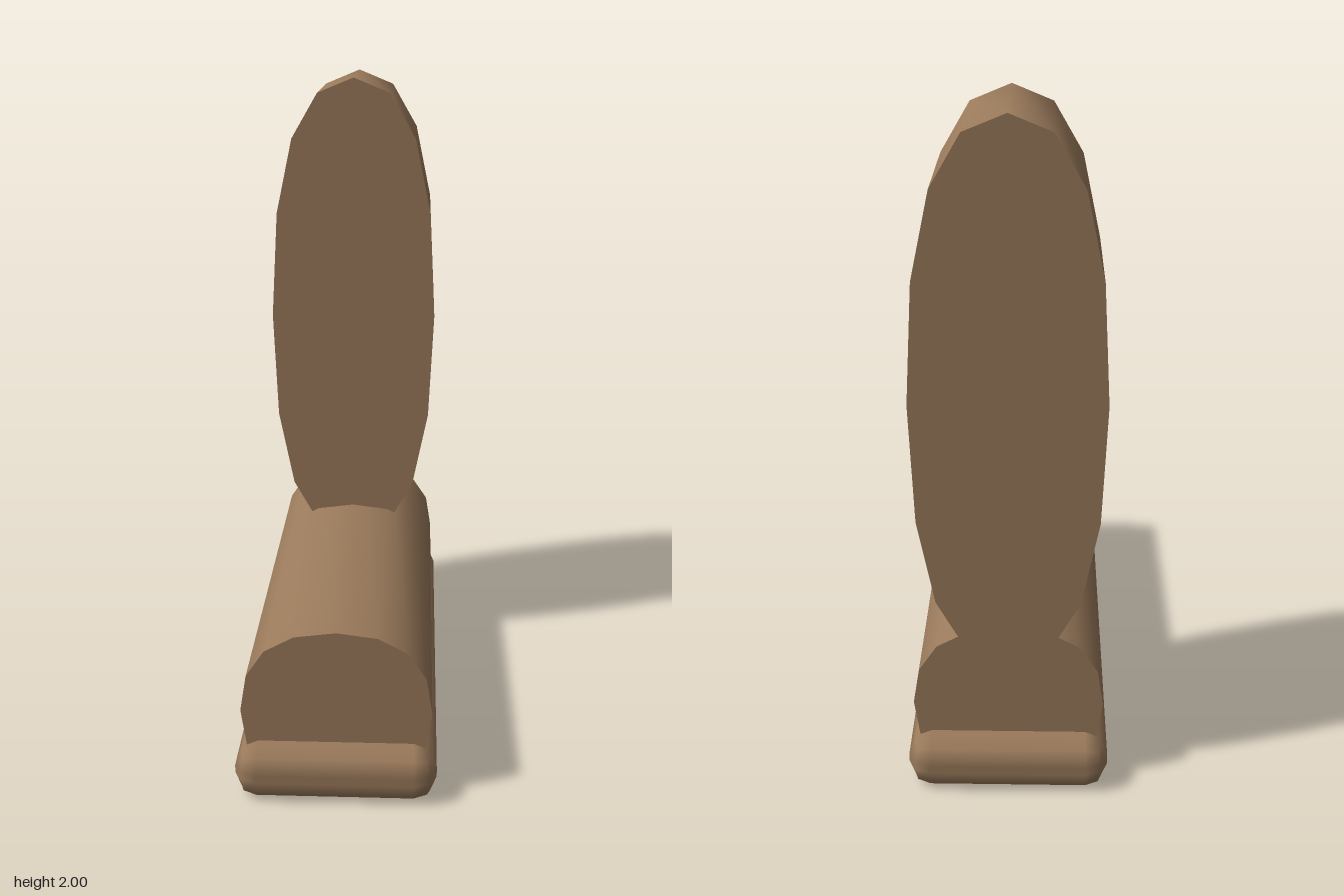
import * as THREE from 'three';
import { toCreasedNormals } from 'three/addons/utils/BufferGeometryUtils.js';
import { RoundedBoxGeometry } from 'three/addons/geometries/RoundedBoxGeometry.js';

const brown = new THREE.MeshStandardMaterial({ color: 0x9a7a5b });
brown.name = 'brown';

// Closed oval of four curves, drawn in the x-y plane
function ovalShape(rx, ry) {
  const k = 2 / 3;
  const s = new THREE.Shape();
  s.moveTo(rx, 0);
  s.bezierCurveTo(rx, ry * k, rx * k, ry, 0, ry);
  s.bezierCurveTo(-rx * k, ry, -rx, ry * k, -rx, 0);
  s.bezierCurveTo(-rx, -ry * k, -rx * k, -ry, 0, -ry);
  s.bezierCurveTo(rx * k, -ry, rx, -ry * k, rx, 0);
  return s;
}

// Oval cushion running along z, smooth round the side and sharp at the ends
function cushion(name, rx, ry, y, zBack, zFront) {
  const extruded = new THREE.ExtrudeGeometry(ovalShape(rx, ry), {
    depth: zFront - zBack, bevelEnabled: false, curveSegments: 4,
  });
  const mesh = new THREE.Mesh(toCreasedNormals(extruded, 1), brown);
  mesh.name = name;
  mesh.position.set(0, y, zBack);
  return mesh;
}

export function createModel() {
  const model = new THREE.Group();
  model.name = 'armrest';

  // Rounded plinth under the cushions
  const base = new THREE.Mesh(new RoundedBoxGeometry(0.59, 0.156, 1.81, 1, 0.067), brown);
  base.name = 'base';
  base.position.y = 0.078;
  model.add(base);

  // Long low cushion, its underside sunk in the plinth
  model.add(cushion('lowerCushion', 0.28, 0.248, 0.252, -0.813, 0.813));

  // Tall upright cushion at the back
  model.add(cushion('uprightCushion', 0.28, 0.81, 1.19, -0.813, -0.315));

  return model;
}
